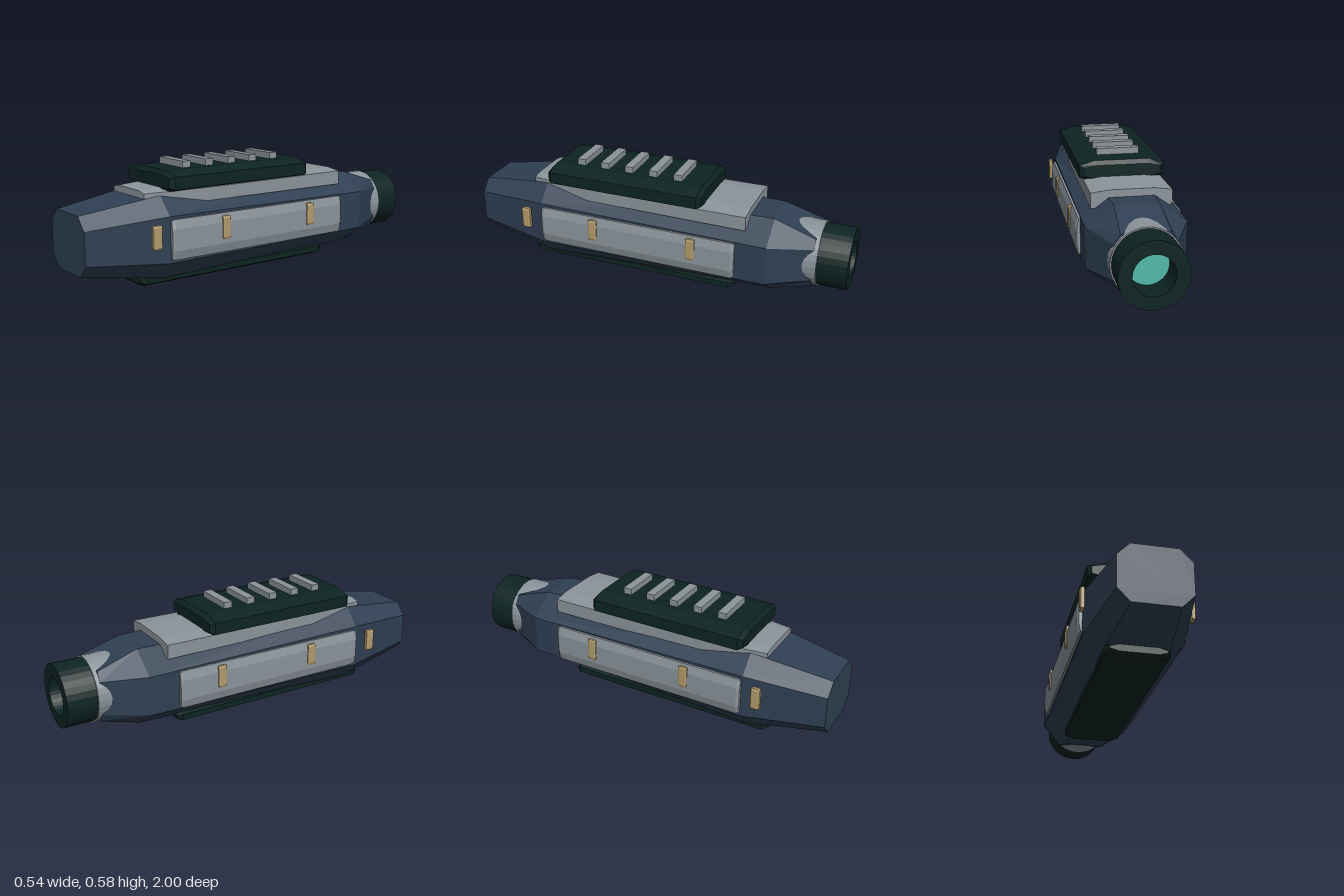
import * as THREE from 'three';

const paint = (name, color) => {
  const m = new THREE.MeshStandardMaterial({ color });
  m.name = name;
  m.flatShading = true;
  return m;
};

// Loft of chamfered eight-sided sections, listed from front (+z) to back.
// Section: [z, centreY, halfWidth, halfHeight, flatHalfWidth, flatHalfHeight]
function loft(sections) {
  const rings = sections.map(([z, cy, w, h, fw, fh]) => [
    [w, -fh], [w, fh], [fw, h], [-fw, h], [-w, fh], [-w, -fh], [-fw, -h], [fw, -h],
  ].map(([x, y]) => [x, cy + y, z]));
  const pos = [];
  const tri = (...pts) => pts.forEach((p) => pos.push(...p));
  for (let s = 0; s < rings.length - 1; s++) {
    const a = rings[s], b = rings[s + 1];
    for (let i = 0; i < 8; i++) {
      const j = (i + 1) % 8;
      tri(b[i], b[j], a[i]);
      tri(b[j], a[j], a[i]);
    }
  }
  const first = rings[0], last = rings[rings.length - 1];
  for (let i = 1; i < 7; i++) {
    tri(first[0], first[i], first[i + 1]);
    tri(last[0], last[i + 1], last[i]);
  }
  const g = new THREE.BufferGeometry();
  g.setAttribute('position', new THREE.Float32BufferAttribute(pos, 3));
  g.computeVertexNormals();
  return g;
}

// Chamfered block with bevelled ends
function block(z0, z1, cy, w, h, fw, fh, bevel, shrink) {
  const end = (z) => [z, cy, w - shrink, h - shrink, fw - shrink * 0.5, fh - shrink * 0.5];
  const full = (z) => [z, cy, w, h, fw, fh];
  return loft([end(z0), full(z0 - bevel), full(z1 + bevel), end(z1)]);
}

export function createModel() {
  const model = new THREE.Group();
  const navy = paint('navy hull', 0x2f3f52);
  const grey = paint('grey plating', 0x8b949b);
  const dark = paint('dark green armour', 0x0d2422);
  const tan = paint('tan clips', 0xb39c6c);
  const teal = paint('teal lens', 0x52b8a8);

  const add = (name, geometry, material, x = 0, y = 0, z = 0) => {
    const mesh = new THREE.Mesh(geometry, material);
    mesh.name = name;
    mesh.position.set(x, y, z);
    model.add(mesh);
    return mesh;
  };

  // Main body, tapering at both ends
  add('hull', loft([
    [1, 0.24, 0.17, 0.142, 0.11, 0.08],
    [0.6, 0.24, 0.239, 0.2, 0.157, 0.112],
    [-0.62, 0.24, 0.239, 0.196, 0.105, 0.1],
    [-0.83, 0.24, 0.142, 0.13, 0.115, 0.085],
  ]), navy);

  // Top deck, narrow at the front
  add('deck', loft([
    [0.68, 0.425, 0.145, 0.038, 0.1, 0.028],
    [0.57, 0.425, 0.163, 0.045, 0.105, 0.03],
    [0.35, 0.425, 0.19, 0.047, 0.105, 0.032],
    [-0.5, 0.425, 0.195, 0.048, 0.11, 0.036],
  ]), grey);

  // Raised pack with its row of ribs
  add('topPack', block(0.572, -0.27, 0.497, 0.211, 0.053, 0.137, 0.03, 0.02, 0.02), dark);
  for (let i = 0; i < 5; i++) {
    add('rib', new THREE.BoxGeometry(0.212, 0.05, 0.045), grey, 0, 0.557, 0.418 - i * 0.1335);
  }

  // Keel plate
  add('keel', block(0.7, -0.43, 0.035, 0.15, 0.035, 0.1, 0.015, 0.025, 0.018), dark);

  // Side panels and clips, mirrored
  const panel = block(0.595, -0.465, 0.24, 0.022, 0.097, 0.01, 0.052, 0.015, 0.008);
  const clip = block(0.023, -0.023, 0.267, 0.0125, 0.057, 0.008, 0.047, 0.008, 0.004);
  for (const side of [1, -1]) {
    add('sidePanel', panel, grey, side * 0.24);
    for (const z of [0.68, 0.293, -0.24]) add('clip', clip, tan, side * 0.2575, 0, z);
  }

  // Rear collar
  const collar = new THREE.CylinderGeometry(0.165, 0.165, 0.17, 32).rotateX(Math.PI / 2);
  add('collar', collar, grey, 0, 0.24, -0.765);

  // Hollow rear nozzle
  const nozzle = new THREE.LatheGeometry([
    [0.095, -0.85], [0.158, -0.85], [0.158, -1], [0.095, -1], [0.095, -0.85],
  ].map(([r, z]) => new THREE.Vector2(r, -z)), 32).rotateX(-Math.PI / 2);
  add('nozzle', nozzle, dark, 0, 0.24, 0);

  // Lens deep inside the nozzle, facing back
  add('lens', new THREE.CircleGeometry(0.096, 32).rotateY(Math.PI), teal, 0, 0.24, -0.87);

  return model;
}
